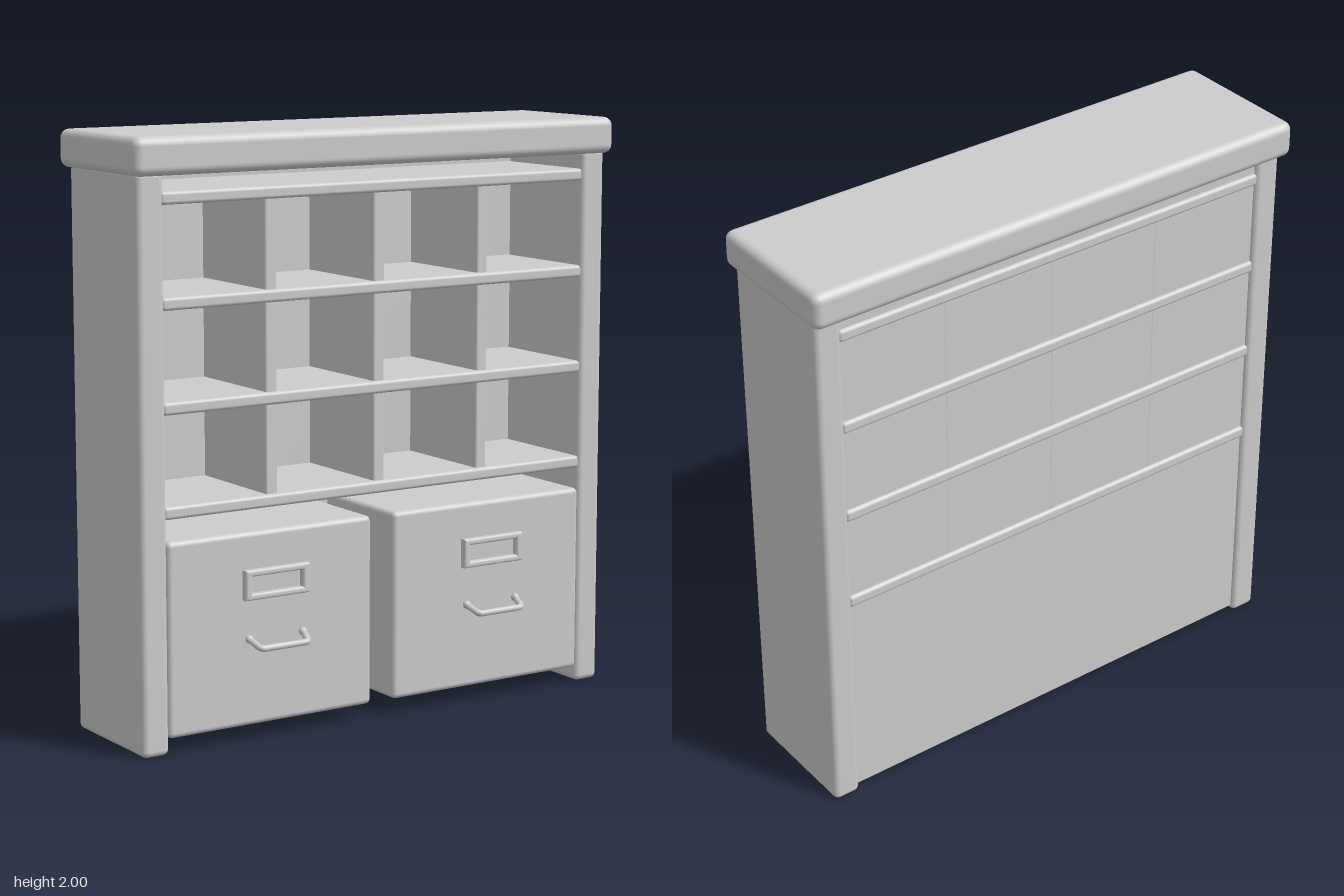
import * as THREE from 'three';
import { RoundedBoxGeometry } from 'three/addons/geometries/RoundedBoxGeometry.js';

const paint = new THREE.MeshStandardMaterial({ color: 0xcccccc });
paint.name = 'greyPaint';

// Rounded box given by its lower and upper limits on each axis
function block(name, [x0, x1], [y0, y1], [z0, z1], radius) {
  const geometry = new RoundedBoxGeometry(x1 - x0, y1 - y0, z1 - z0, 3, radius);
  const mesh = new THREE.Mesh(geometry, paint);
  mesh.position.set((x0 + x1) / 2, (y0 + y1) / 2, (z0 + z1) / 2);
  mesh.name = name;
  return mesh;
}

function rectangle(Type, w, h) {
  return new Type([[-w, -h], [w, -h], [w, h], [-w, h]].map(([x, y]) => new THREE.Vector2(x / 2, y / 2)));
}

// Open label frame with softened edges
function labelHolder() {
  const shape = rectangle(THREE.Shape, 0.23, 0.085);
  shape.holes.push(rectangle(THREE.Path, 0.212, 0.073));
  const geometry = new THREE.ExtrudeGeometry(shape, {
    depth: 0.014, bevelThickness: 0.008, bevelSize: 0.008, bevelSegments: 3,
  });
  const mesh = new THREE.Mesh(geometry, paint);
  mesh.name = 'labelHolder';
  return mesh;
}

// Bent rod pull, drooping toward the front
function handle() {
  const group = new THREE.Group();
  group.name = 'handle';
  const v = (x, y, z) => new THREE.Vector3(x, y, z);
  const path = new THREE.CurvePath();
  const pts = [
    v(-0.103, 0.351, 0.225), v(-0.094, 0.334, 0.268), v(-0.09, 0.329, 0.28), v(-0.078, 0.329, 0.28),
    v(0.078, 0.329, 0.28), v(0.09, 0.329, 0.28), v(0.094, 0.334, 0.268), v(0.103, 0.351, 0.225),
  ];
  path.add(new THREE.LineCurve3(pts[0], pts[1]));
  path.add(new THREE.QuadraticBezierCurve3(pts[1], pts[2], pts[3]));
  path.add(new THREE.LineCurve3(pts[3], pts[4]));
  path.add(new THREE.QuadraticBezierCurve3(pts[4], pts[5], pts[6]));
  path.add(new THREE.LineCurve3(pts[6], pts[7]));
  const rod = new THREE.Mesh(new THREE.TubeGeometry(path, 60, 0.011, 12), paint);
  rod.name = 'handleRod';
  group.add(rod);
  for (const end of [pts[0], pts[7]]) {
    const cap = new THREE.Mesh(new THREE.SphereGeometry(0.014, 14, 10), paint);
    cap.position.copy(end);
    cap.name = 'handleEnd';
    group.add(cap);
  }
  return group;
}

export function createModel() {
  const model = new THREE.Group();
  model.name = 'storageCabinet';

  // Case
  model.add(block('topBoard', [-0.945, 0.945], [1.875, 2], [-0.29, 0.23], 0.03));
  model.add(block('rightSide', [-0.925, -0.828], [0, 1.89], [-0.25, 0.2], 0.02));
  model.add(block('leftSide', [0.828, 0.925], [0, 1.89], [-0.25, 0.2], 0.02));
  model.add(block('backPanel', [-0.835, 0.835], [0.02, 1.89], [-0.235, -0.215], 0.003));

  // Pigeonholes
  for (const y of [0.795, 1.133, 1.468, 1.803]) {
    model.add(block('shelf', [-0.835, 0.835], [y - 0.021, y + 0.021], [-0.248, 0.195], 0.012));
  }
  for (const x of [-0.424, -0.003, 0.419]) {
    model.add(block('divider', [x - 0.022, x + 0.022], [0.795, 1.803], [-0.236, 0.18], 0.008));
  }

  // Drawers with label frames and pulls
  for (const [side, x0, x1] of [['right', -0.832, -0.047], ['left', 0.042, 0.828]]) {
    const drawer = new THREE.Group();
    drawer.name = side + 'Drawer';
    drawer.add(block('drawerBox', [x0, x1], [0.053, 0.703], [-0.22, 0.204], 0.018));
    const middle = side === 'right' ? -0.438 : 0.435;
    const label = labelHolder();
    label.position.set(middle, 0.533, 0.219);
    const pull = handle();
    pull.position.x = middle;
    drawer.add(label, pull);
    model.add(drawer);
  }
  return model;
}
